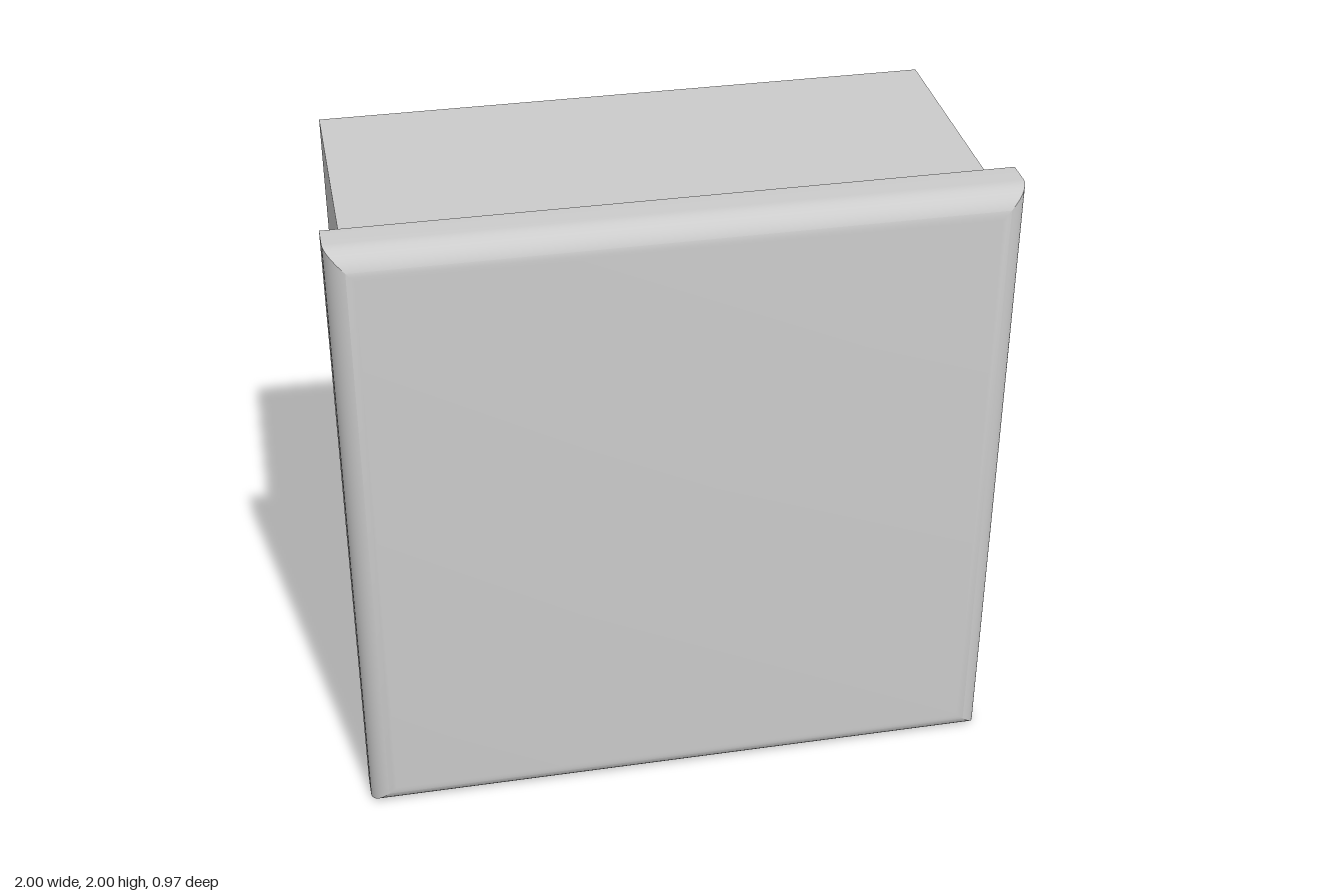
import * as THREE from 'three';
import { toCreasedNormals } from 'three/addons/utils/BufferGeometryUtils.js';

const FRONT = 0.485, SEAM = 0.325, BACK = -0.485, RADIUS = 0.08;

// Square plate with a quarter-round front edge and mitred corners:
// a four-sided lathe turned so its axis points forward.
function roundedPlate() {
  const profile = [[0, SEAM], [1, SEAM]];
  const steps = 10;
  for (let i = 0; i <= steps; i++) {
    const a = (i / steps) * Math.PI / 2;
    profile.push([1 - RADIUS + RADIUS * Math.cos(a), FRONT - RADIUS + RADIUS * Math.sin(a)]);
  }
  profile.push([0, FRONT]);
  const points = profile.map(([half, z]) => new THREE.Vector2(half * Math.SQRT2, z));
  const geometry = new THREE.LatheGeometry(points, 4);
  geometry.rotateY(Math.PI / 4).rotateX(Math.PI / 2);
  return toCreasedNormals(geometry, 0.4);
}

export function createModel() {
  const group = new THREE.Group();
  group.name = 'squareCappedBlock';
  const material = new THREE.MeshStandardMaterial({ color: 0xcccccc });

  // Front plate
  const plate = new THREE.Mesh(roundedPlate(), material);
  plate.name = 'frontPlate';
  plate.position.y = 1;

  // Plain body behind the plate
  const body = new THREE.Mesh(new THREE.BoxGeometry(1.89, 1.89, SEAM - BACK), material);
  body.name = 'body';
  body.position.set(0, 1, (SEAM + BACK) / 2);

  group.add(plate, body);
  return group;
}
